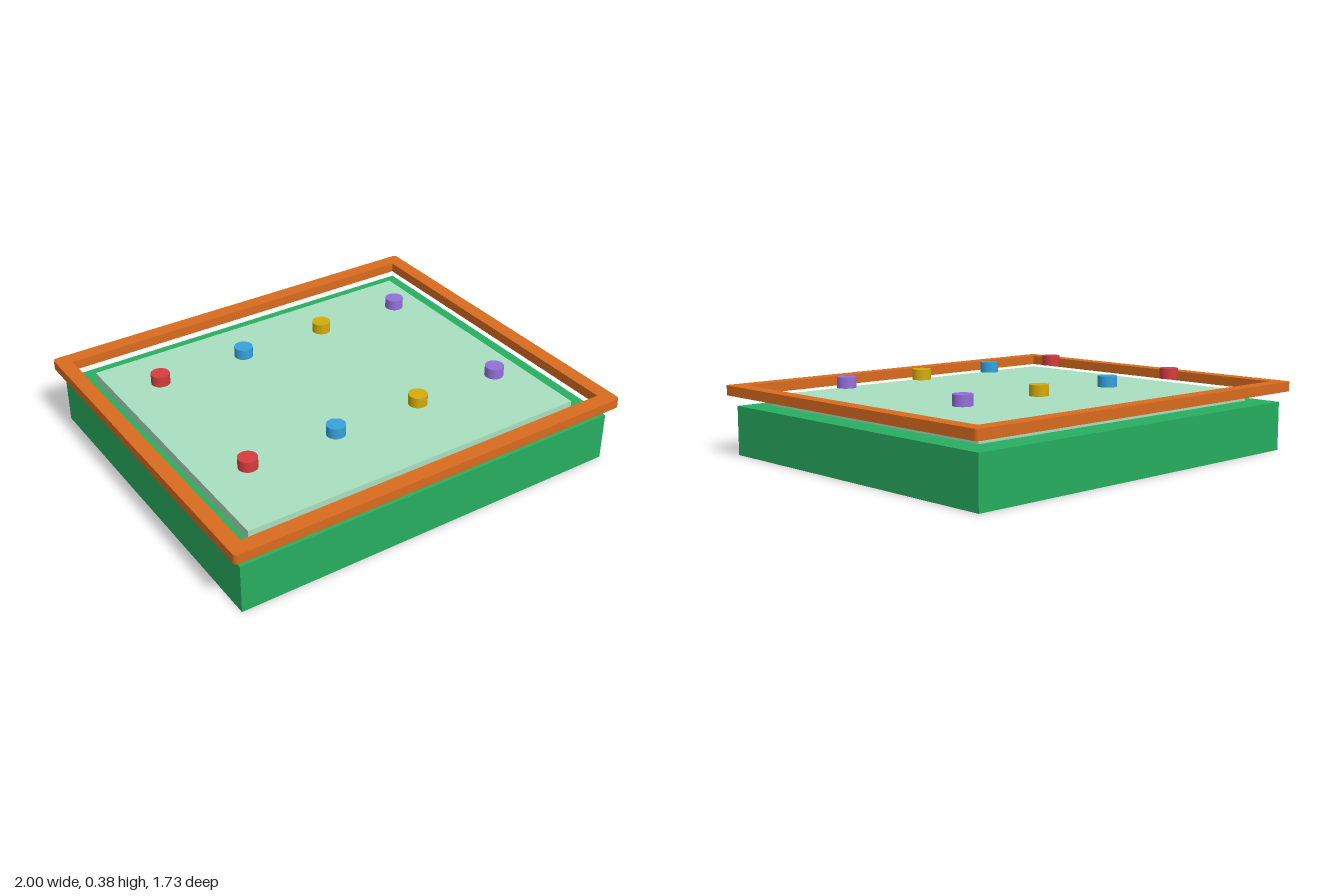
import * as THREE from 'three';

function part(name, geometry, color, x = 0, y = 0, z = 0) {
  const mesh = new THREE.Mesh(geometry, new THREE.MeshStandardMaterial({ color }));
  mesh.name = name;
  mesh.position.set(x, y, z);
  return mesh;
}

// Rectangle outline with rounded corners
function roundedRect(hx, hz, r) {
  const s = new THREE.Shape();
  s.moveTo(-hx + r, -hz);
  s.lineTo(hx - r, -hz);
  s.absarc(hx - r, -hz + r, r, -Math.PI / 2, 0);
  s.lineTo(hx, hz - r);
  s.absarc(hx - r, hz - r, r, 0, Math.PI / 2);
  s.lineTo(-hx + r, hz);
  s.absarc(-hx + r, hz - r, r, Math.PI / 2, Math.PI);
  s.lineTo(-hx, -hz + r);
  s.absarc(-hx + r, -hz + r, r, Math.PI, Math.PI * 1.5);
  return s;
}

export function createModel() {
  const group = new THREE.Group();
  group.name = 'boardBox';

  // Solid base and the pale panel resting on it
  group.add(part('base', new THREE.BoxGeometry(1.92, 0.231, 1.654), 0x27ae60, 0, 0.1155, 0));
  group.add(part('panel', new THREE.BoxGeometry(1.706, 0.047, 1.42), 0xa9dfbf, 0, 0.2585, 0));

  // Open rim with softened outer corners, held above the base
  const outline = roundedRect(1, 0.863, 0.018);
  outline.holes.push(new THREE.Path([
    new THREE.Vector2(-0.93, -0.79), new THREE.Vector2(-0.93, 0.79),
    new THREE.Vector2(0.93, 0.79), new THREE.Vector2(0.93, -0.79),
  ]));
  const rim = new THREE.ExtrudeGeometry(outline, { depth: 0.046, bevelEnabled: false, curveSegments: 6 });
  rim.rotateX(-Math.PI / 2);
  group.add(part('rim', rim, 0xd96b1f, 0, 0.282, 0));

  // Two rows of coloured pegs
  const pegs = new THREE.Group();
  pegs.name = 'pegs';
  const pegGeometry = new THREE.CylinderGeometry(0.044, 0.044, 0.05, 32);
  const colors = [0xd63c40, 0x35a2dc, 0xd4ac0d, 0x9370db];
  for (const z of [-0.396, 0.394]) {
    colors.forEach((color, i) => {
      pegs.add(part('peg', pegGeometry, color, -0.666 + 0.44 * i, 0.355, z));
    });
  }
  group.add(pegs);
  return group;
}
